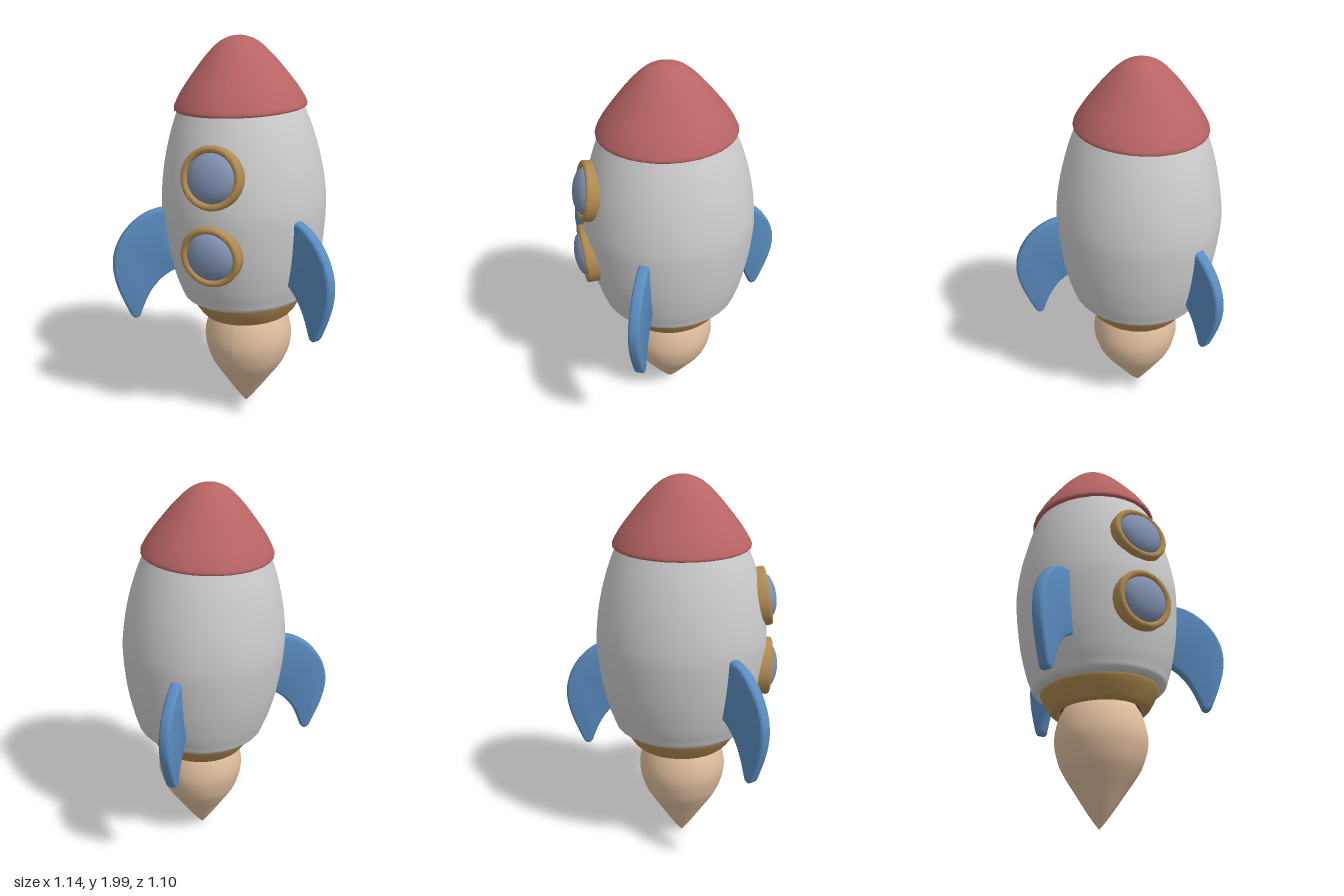
import * as THREE from 'three';
import { toCreasedNormals } from 'three/addons/utils/BufferGeometryUtils.js';

const SIDES = 32;

function paint(color) {
  return new THREE.MeshStandardMaterial({ color });
}

function addMesh(parent, name, geometry, material) {
  const mesh = new THREE.Mesh(geometry, material);
  mesh.name = name;
  parent.add(mesh);
  return mesh;
}

// Turned part from [radius, height] pairs, optionally rounded into a smooth curve
function turned(pairs, curvePoints = 0) {
  let points = pairs.map(([r, y]) => new THREE.Vector2(r, y));
  if (curvePoints) points = new THREE.SplineCurve(points).getPoints(curvePoints);
  points.forEach((p) => { p.x = Math.max(p.x, 0); });
  return new THREE.LatheGeometry(points, SIDES);
}

export function createModel() {
  const rocket = new THREE.Group();
  rocket.name = 'rocket';

  const grey = paint(0xcccccc);
  const red = paint(0xb86464);
  const blue = paint(0x5a8cc0);
  const brass = paint(0xb08a50);
  const dark = paint(0x6a4040);
  const fire = paint(0xe0be9e);
  const glass = paint(0x8090b0);

  // Hull leans slightly and is a little deeper than wide; heights start at the body's foot
  const hull = new THREE.Group();
  hull.name = 'hull';
  hull.position.set(0.008, 0.69, 0.047);
  hull.rotation.z = 0.037;
  hull.scale.z = 1.05;
  rocket.add(hull);

  addMesh(hull, 'body', turned([
    [0.26, 0], [0.305, 0.0], [0.332, 0.015], [0.345, 0.05], [0.367, 0.12], [0.396, 0.26],
    [0.415, 0.44], [0.413, 0.56], [0.39, 0.71], [0.35, 0.86], [0.305, 0.98],
  ], 50), grey);

  // Nose cap with a thin rolled lip
  addMesh(hull, 'noseCone', turned([
    [0.29, 0.972], [0.318, 0.968], [0.327, 0.978], [0.318, 1.003], [0.285, 1.06], [0.23, 1.135],
    [0.165, 1.215], [0.1, 1.278], [0.045, 1.305], [0, 1.311],
  ], 45), red);

  // Flared nozzle with a dark throat
  addMesh(hull, 'nozzle', turned([
    [0.2, -0.09], [0.205, -0.105], [0.222, -0.108], [0.238, -0.103], [0.25, -0.09],
    [0.28, -0.04], [0.295, -0.01], [0.297, 0.005], [0.28, 0.015],
  ]), brass);
  addMesh(hull, 'nozzleThroat', turned([[0, -0.05], [0.2, -0.05], [0.2, -0.1]]), dark);

  // Flame, its lower end swept towards the tip
  const flameGeometry = turned([
    [0, 0.01], [0.03, 0.047], [0.068, 0.1], [0.128, 0.19], [0.168, 0.25], [0.206, 0.32],
    [0.231, 0.42], [0.221, 0.51], [0.19, 0.59], [0.14, 0.645], [0, 0.66],
  ], 45);
  const p = flameGeometry.attributes.position;
  for (let i = 0; i < p.count; i++) {
    p.setX(i, p.getX(i) + 0.014 * Math.min(1, p.getY(i) / 0.35));
  }
  flameGeometry.computeVertexNormals();
  addMesh(rocket, 'flame', flameGeometry, fire).position.z = 0.053;

  // Portholes: [height, depth, lean]
  const rimGeometry = toCreasedNormals(turned([
    [0.116, -0.04], [0.143, -0.04], [0.15, -0.034], [0.15, 0.026], [0.147, 0.035], [0.14, 0.04],
    [0.129, 0.04], [0.122, 0.035], [0.118, 0.026], [0.116, -0.04],
  ]), 0.8);
  const glassGeometry = turned([
    [0.12, 0.015], [0.114, 0.035], [0.095, 0.055], [0.065, 0.068], [0.033, 0.075], [0, 0.077],
  ]);
  [[1.395, 0.447, -0.18], [1.023, 0.468, 0.04]].forEach(([y, z, lean]) => {
    const porthole = new THREE.Group();
    porthole.name = 'porthole';
    porthole.position.set(-0.006, y, z);
    porthole.rotation.x = Math.PI / 2 + lean;
    addMesh(porthole, 'portholeRim', rimGeometry, brass);
    addMesh(porthole, 'portholeGlass', glassGeometry, glass);
    rocket.add(porthole);
  });

  // Fin outline: x = 0 at the outermost edge, root reaching into the body
  const outline = new THREE.Shape();
  outline.moveTo(-0.36, 0.85);
  outline.lineTo(-0.36, 1.172);
  outline.lineTo(-0.26, 1.175);
  outline.bezierCurveTo(-0.13, 1.165, 0, 1.03, 0, 0.88);
  outline.bezierCurveTo(0, 0.79, -0.04, 0.7, -0.078, 0.61);
  outline.quadraticCurveTo(-0.1, 0.578, -0.125, 0.605);
  outline.bezierCurveTo(-0.16, 0.7, -0.2, 0.8, -0.31, 0.845);
  outline.closePath();
  const finGeometry = toCreasedNormals(new THREE.ExtrudeGeometry(outline, {
    depth: 0.026, bevelThickness: 0.015, bevelSize: 0.015, bevelOffset: -0.015,
    bevelSegments: 3, curveSegments: 16,
  }).translate(0, 0, -0.013), 0.7);

  // Fins: outer edge x, z and outward direction x, z
  [
    ['leftFin', 0.558, 0.368, 0.885, 0.46],
    ['rightFin', -0.56, 0.455, -0.825, 0.565],
    ['backFin', -0.068, -0.551, -0.06, -1],
  ].forEach(([name, x, z, dx, dz]) => {
    const fin = addMesh(rocket, name, finGeometry, blue);
    fin.position.set(x, 0, z);
    fin.rotation.y = Math.atan2(-dz, dx);
  });

  return rocket;
}
